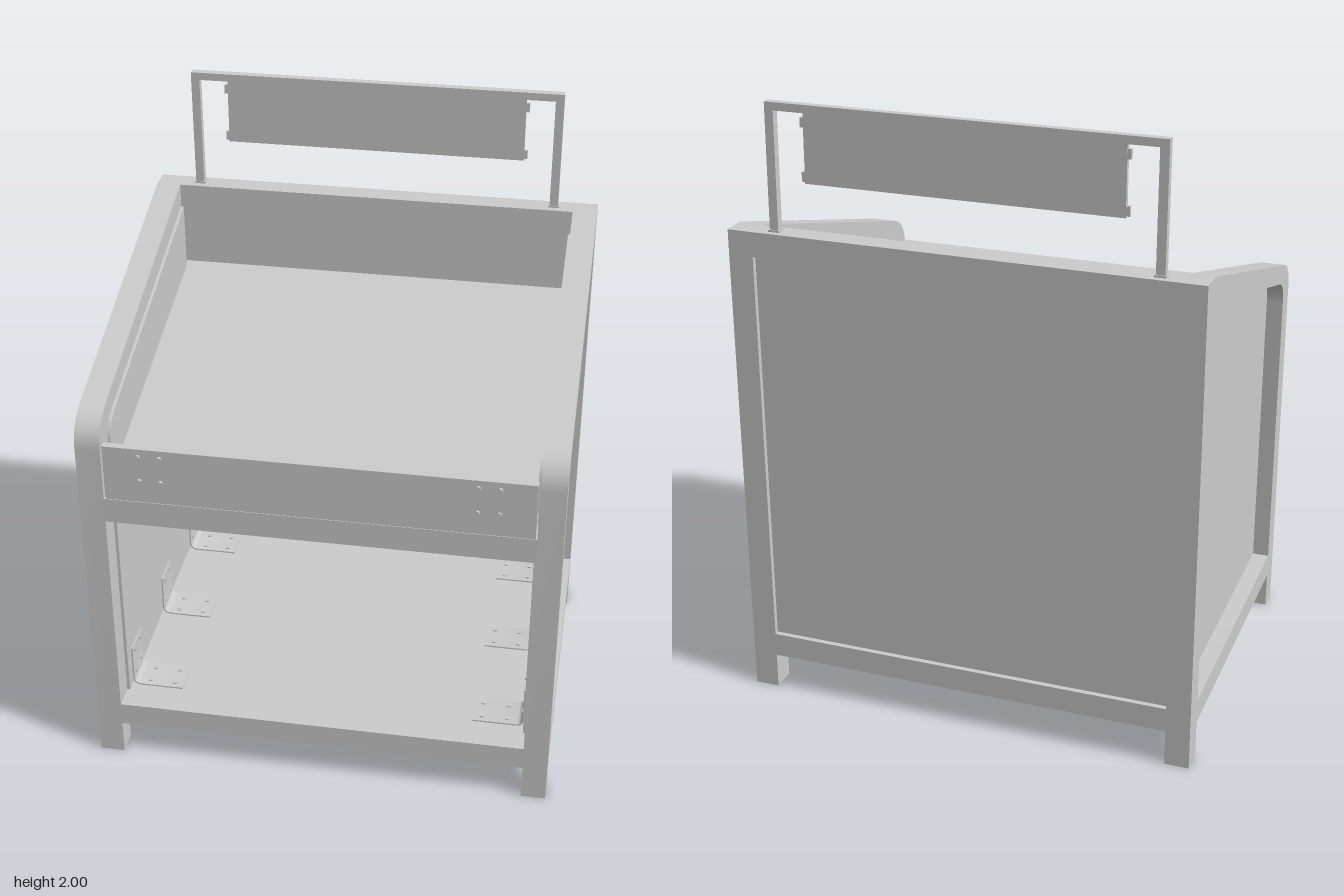
import * as THREE from 'three';
import { toCreasedNormals } from 'three/addons/utils/BufferGeometryUtils.js';

const grey = new THREE.MeshStandardMaterial({ color: 0xcccccc });

function add(parent, name, geometry, x = 0, y = 0, z = 0) {
  const mesh = new THREE.Mesh(geometry, grey);
  mesh.name = name;
  mesh.position.set(x, y, z);
  parent.add(mesh);
  return mesh;
}

// Box given by its limits on each axis
function box(parent, name, [x0, x1], [y0, y1], [z0, z1]) {
  return add(parent, name, new THREE.BoxGeometry(x1 - x0, y1 - y0, z1 - z0),
    (x0 + x1) / 2, (y0 + y1) / 2, (z0 + z1) / 2);
}

// Inner outline of a side frame, drawn with z across and y up
function trace(path) {
  path.moveTo(-0.5, 0.2);
  path.lineTo(0.5, 0.2);
  path.lineTo(0.5, 1.17);
  path.bezierCurveTo(0.5, 1.22, 0.47, 1.25, 0.42, 1.262);
  path.lineTo(-0.5, 1.52);
  path.closePath();
  return path;
}

// Outer outline with two legs, sloped top and rounded front corner
function frameShape() {
  const s = new THREE.Shape();
  s.moveTo(-0.58, 0);
  s.lineTo(-0.5, 0);
  s.lineTo(-0.5, 0.12);
  s.lineTo(0.5, 0.12);
  s.lineTo(0.5, 0);
  s.lineTo(0.58, 0);
  s.lineTo(0.58, 1.19);
  s.bezierCurveTo(0.58, 1.25, 0.55, 1.29, 0.49, 1.308);
  s.lineTo(-0.5, 1.6);
  s.lineTo(-0.58, 1.6);
  s.closePath();
  s.holes.push(trace(new THREE.Path()));
  return s;
}

// Extrudes a side outline from x = outer towards -x
function sidePart(parent, name, shape, outer, depth) {
  const geo = new THREE.ExtrudeGeometry(shape, { depth, bevelEnabled: false, curveSegments: 10 });
  add(parent, name, toCreasedNormals(geo, 0.5), outer).rotation.y = -Math.PI / 2;
}

// Bent corner plate with eight screws: upright arm at x = 0, lower arm along +x
function bracket(parent, name, x, y, z, turn, slope) {
  const g = new THREE.Group();
  g.name = name;
  const t = 0.005, len = 0.17, high = 0.15, r = 0.03;
  const s = new THREE.Shape();
  s.moveTo(0, high);
  s.lineTo(0, r);
  s.quadraticCurveTo(0, 0, r, r * slope);
  s.lineTo(len, len * slope);
  s.lineTo(len, len * slope + t);
  s.lineTo(r, r * slope + t);
  s.quadraticCurveTo(t, t, t, r);
  s.lineTo(t, high);
  s.closePath();
  const plate = new THREE.ExtrudeGeometry(s, { depth: 0.115, bevelEnabled: false, curveSegments: 6 });
  add(g, 'bracketPlate', toCreasedNormals(plate, 0.6), 0, 0, -0.0575);
  const screw = new THREE.CylinderGeometry(0.008, 0.008, 0.042, 10);
  for (const side of [-0.033, 0.033]) {
    for (const h of [0.045, 0.132]) add(g, 'wallScrew', screw, -0.012, h, side).rotation.z = Math.PI / 2;
    for (const d of [0.055, 0.14]) add(g, 'shelfScrew', screw, d, d * slope - 0.012, side).rotation.z = Math.atan(slope);
  }
  g.position.set(x, y, z);
  g.rotation.y = turn;
  parent.add(g);
}

export function createModel() {
  const model = new THREE.Group();
  model.name = 'displayCounter';
  const W = [-0.67, 0.67];

  // Side frames with recessed panels
  for (const [side, frameX, panelX] of [['left', 0.75, 0.695], ['right', -0.67, -0.66]]) {
    sidePart(model, side + 'Frame', frameShape(), frameX, 0.08);
    sidePart(model, side + 'Panel', trace(new THREE.Shape()), panelX, 0.035);
  }

  // Cross rails
  box(model, 'frontBottomRail', W, [0.12, 0.2], [0.5, 0.58]);
  box(model, 'backBottomRail', W, [0.12, 0.2], [-0.58, -0.5]);
  box(model, 'frontMiddleRail', W, [0.935, 1.02], [0.5, 0.58]);
  box(model, 'backTopRail', W, [1.52, 1.6], [-0.58, -0.505]);

  // Back panel, floor and front board
  box(model, 'backPanel', W, [0.2, 1.52], [-0.563, -0.528]);
  box(model, 'floorShelf', W, [0.155, 0.19], [-0.5, 0.5]);
  box(model, 'frontBoard', [-0.665, 0.665], [1.02, 1.21], [0.553, 0.578]);

  // Sloped display shelf rising towards the back
  const slope = 0.232, z0 = 0.553, z1 = -0.528, y0 = 1.052;
  const y1 = y0 + slope * (z0 - z1);
  const section = new THREE.Shape([[z0, y0 - 0.025], [z0, y0], [z1, y1], [z1, y1 - 0.025]]
    .map(([z, y]) => new THREE.Vector2(z, y)));
  sidePart(model, 'displayShelf', section, 0.665, 1.33);

  // Brackets on the front board and along the lower walls
  for (const sx of [-1, 1]) {
    bracket(model, 'frontBracket', sx * 0.52, y0, z0, Math.PI / 2, slope);
    for (const z of [-0.4, 0, 0.4]) {
      bracket(model, 'floorBracket', sx * 0.66, 0.19, z, sx > 0 ? Math.PI : 0, 0);
    }
  }

  // Sign holder leaning slightly forward
  const sign = new THREE.Group();
  sign.name = 'signHolder';
  sign.position.set(0, 1.6, -0.543);
  sign.rotation.x = 0.017;
  for (const sx of [-1, 1]) {
    box(sign, 'signPost', [sx * 0.605 - 0.014, sx * 0.605 + 0.014], [-0.01, 0.375], [-0.013, 0.013]);
    box(sign, 'postFoot', [sx * 0.605 - 0.018, sx * 0.605 + 0.018], [-0.01, 0.006], [-0.017, 0.015]);
    for (const y of [0.18, 0.345]) {
      box(sign, 'signClip', [sx * 0.502 - 0.006, sx * 0.502 + 0.006], [y - 0.015, y + 0.015], [-0.006, 0.006]);
    }
  }
  box(sign, 'signTopBar', [-0.619, 0.619], [0.375, 0.4], [-0.013, 0.013]);
  box(sign, 'signBoard', [-0.497, 0.497], [0.16, 0.375], [-0.008, 0.008]);
  model.add(sign);

  return model;
}
